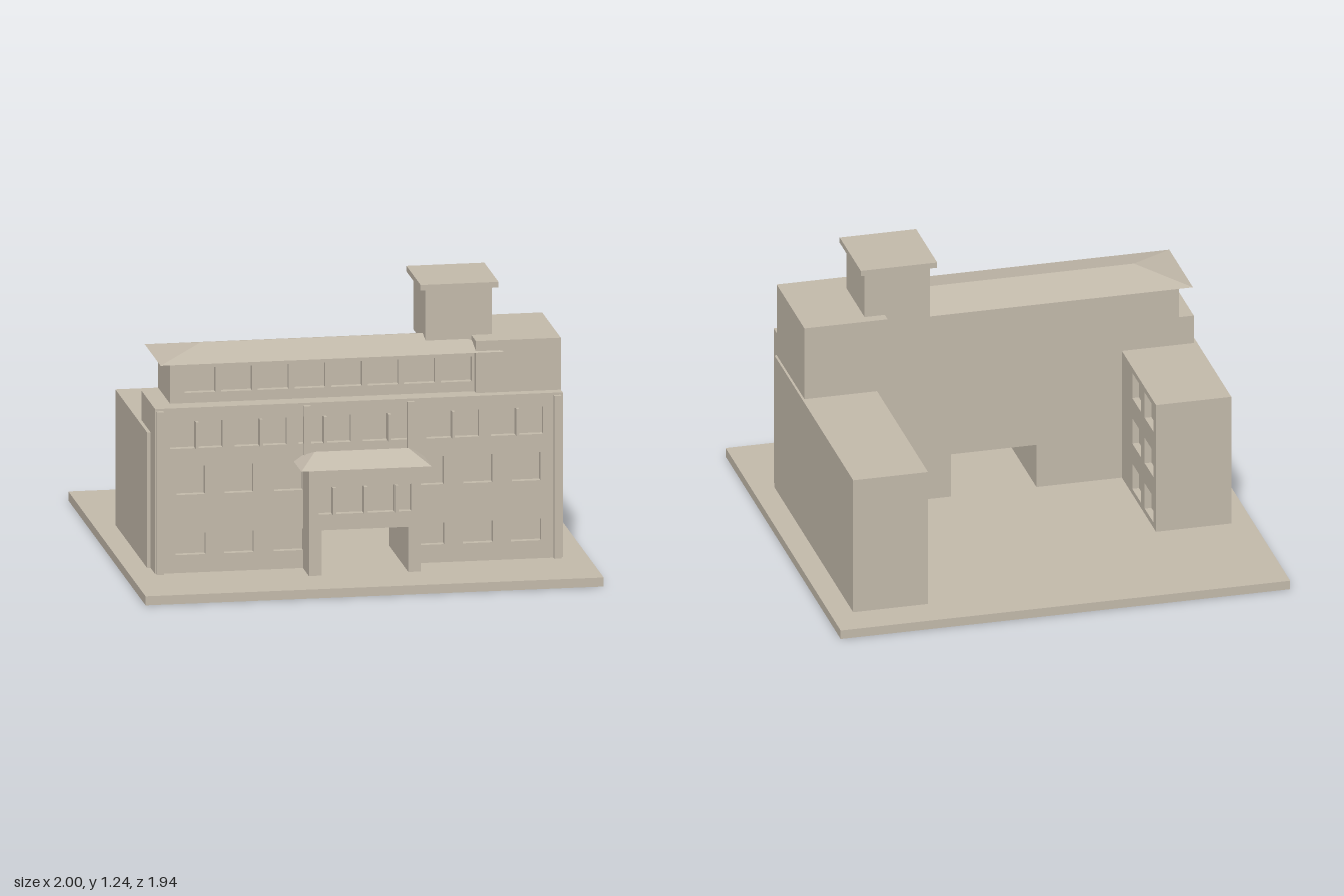
import * as THREE from 'three';

const RECESS = 0.03;

export function createModel() {
  const model = new THREE.Group();
  model.name = 'building';
  const stone = new THREE.MeshStandardMaterial({ color: 0xc2b9aa });
  stone.name = 'stone';

  const add = (name, geometry) => {
    const mesh = new THREE.Mesh(geometry, stone);
    mesh.name = name;
    model.add(mesh);
    return mesh;
  };

  // Box given by its limits on each axis
  const box = (name, x0, x1, y0, y1, z0, z1) => {
    const mesh = add(name, new THREE.BoxGeometry(x1 - x0, y1 - y0, z1 - z0));
    mesh.position.set((x0 + x1) / 2, (y0 + y1) / 2, (z0 + z1) / 2);
    return mesh;
  };

  // Wall sheet pierced by windows [cx, cy, w, h]; an optional gate is cut from the bottom edge
  const wall = (name, x0, x1, y0, y1, windows, gate) => {
    const outline = [[x0, y0]];
    if (gate) outline.push([-gate.x, y0], [-gate.x, gate.y], [gate.x, gate.y], [gate.x, y0]);
    outline.push([x1, y0], [x1, y1], [x0, y1]);
    const shape = new THREE.Shape(outline.map(([x, y]) => new THREE.Vector2(x, y)));
    for (const [cx, cy, w, h] of windows) {
      shape.holes.push(new THREE.Path([[-1, -1], [-1, 1], [1, 1], [1, -1]]
        .map(([i, j]) => new THREE.Vector2(cx + i * w / 2, cy + j * h / 2))));
    }
    const geometry = new THREE.ExtrudeGeometry(shape, { depth: RECESS, bevelEnabled: false });
    geometry.translate(0, 0, -RECESS);
    return add(name, geometry);
  };

  // Hipped roof with a ridge along x
  const hipRoof = (name, x0, x1, z0, z1, y0, y1, inset) => {
    const zm = (z0 + z1) / 2;
    const geometry = new THREE.BufferGeometry();
    geometry.setAttribute('position', new THREE.Float32BufferAttribute([
      x0, y0, z1, x1, y0, z1, x1, y0, z0, x0, y0, z0,
      x0 + inset, y1, zm, x1 - inset, y1, zm], 3));
    geometry.setIndex([0, 1, 5, 0, 5, 4, 1, 2, 5, 2, 3, 4, 2, 4, 5, 3, 0, 4, 0, 3, 2, 0, 2, 1]);
    const flat = geometry.toNonIndexed();
    flat.computeVertexNormals();
    add(name, flat);
  };

  const gate = { x: 0.19, y: 0.24 };
  box('groundSlab', -1, 1, 0, 0.04, -0.968, 0.968);

  // Main block with a passage through the middle
  const mainWindows = [];
  for (const x of [-0.735, -0.525, -0.308, 0.308, 0.52, 0.73]) {
    mainWindows.push([x, 0.167, 0.13, 0.095], [x, 0.448, 0.125, 0.125]);
  }
  const pairs = [-0.71, -0.43, -0.15, 0.13, 0.41, 0.69];
  for (const x of pairs) {
    mainWindows.push([x - 0.06, 0.65, 0.108, 0.12], [x + 0.06, 0.65, 0.108, 0.12]);
  }
  wall('mainFrontWall', -0.89, 0.89, 0.04, 0.77, mainWindows, gate).position.z = 0.575;
  const mainFront = 0.575 - RECESS;
  box('mainBlockRight', -0.89, -gate.x, 0.04, 0.77, 0.24, mainFront);
  box('mainBlockLeft', gate.x, 0.89, 0.04, 0.77, 0.24, mainFront);
  box('mainBlockOverPassage', -gate.x, gate.x, gate.y, 0.77, 0.24, mainFront);

  // Pilasters and window mullions on the front
  for (const x of [-0.87, -0.228, 0.225, 0.865]) {
    box('pilaster', x - 0.015, x + 0.015, 0.04, 0.76, 0.57, 0.597);
  }
  for (const x of pairs) box('mullion', x - 0.006, x + 0.006, 0.59, 0.71, 0.55, 0.6);

  // Set-back top floor and its roof
  const topWindows = [];
  for (let i = 0; i < 8; i++) topWindows.push([-0.68 + i * 0.16, 0.87, 0.135, 0.11]);
  wall('topFloorFrontWall', -0.81, 0.54, 0.77, 0.953, topWindows).position.z = 0.49;
  box('topFloor', -0.81, 0.54, 0.77, 0.953, 0.185, 0.49 - RECESS);
  hipRoof('mainRoof', -0.86, 0.64, 0.14, 0.54, 0.952, 1.0, 0.21);

  // Stair block with a column of windows facing the courtyard
  const rows = [0.125, 0.34, 0.555];
  box('stairBlock', 0.52 + RECESS, 0.89, 0.04, 1.0, 0.058, 0.525);
  const stairWall = wall('stairCourtWall', 0.058, 0.525, 0.04, 1.0,
    rows.map((y) => [0.15, y, 0.14, 0.13]));
  stairWall.rotation.y = -Math.PI / 2;
  stairWall.position.x = 0.52;

  // Roof tower and cap
  box('tower', 0.32, 0.61, 0.96, 1.21, 0.105, 0.41);
  box('towerCap', 0.295, 0.635, 1.21, 1.235, 0.075, 0.43);

  // Long left wing
  box('leftWing', 0.567 + RECESS, 0.9, 0.04, 0.665, -0.8, 0.525);
  const leftWindows = [];
  for (const z of [-0.69, -0.48, -0.27, -0.06]) {
    for (const y of rows) leftWindows.push([z, y, 0.15, 0.12]);
  }
  const leftCourtWall = wall('leftWingCourtWall', -0.8, 0.1, 0.04, 0.665, leftWindows);
  leftCourtWall.rotation.y = -Math.PI / 2;
  leftCourtWall.position.x = 0.567;

  // Short right wing
  box('rightWing', -0.905, -0.57 - RECESS, 0.04, 0.64, -0.335, 0.46);
  const rightWindows = [];
  for (const z of [-0.22, -0.01]) {
    for (const y of rows) rightWindows.push([-z, y, 0.15, 0.12]);
  }
  const rightCourtWall = wall('rightWingCourtWall', -0.3, 0.335, 0.04, 0.64, rightWindows);
  rightCourtWall.rotation.y = Math.PI / 2;
  rightCourtWall.position.x = -0.57;

  // Entrance porch
  const porchFront = 0.725 - RECESS;
  wall('porchFrontWall', -0.245, 0.245, 0.04, 0.515, [
    [-0.173, 0.37, 0.06, 0.12], [-0.067, 0.37, 0.12, 0.12],
    [0.067, 0.37, 0.12, 0.12], [0.173, 0.37, 0.06, 0.12],
  ], gate).position.z = 0.725;
  box('porchRoom', -0.245, 0.245, gate.y, 0.515, 0.56, porchFront);
  for (const s of [-1, 1]) {
    const x = s * 0.2175;
    box('porchLeg', x - 0.0275, x + 0.0275, 0.04, gate.y, 0.56, porchFront);
  }
  for (const x of [-0.137, 0, 0.137]) {
    box('porchMullion', x - 0.007, x + 0.007, 0.31, 0.43, 0.7, 0.748);
  }
  hipRoof('porchRoof', -0.285, 0.285, 0.515, 0.765, 0.513, 0.568, 0.08);

  return model;
}
